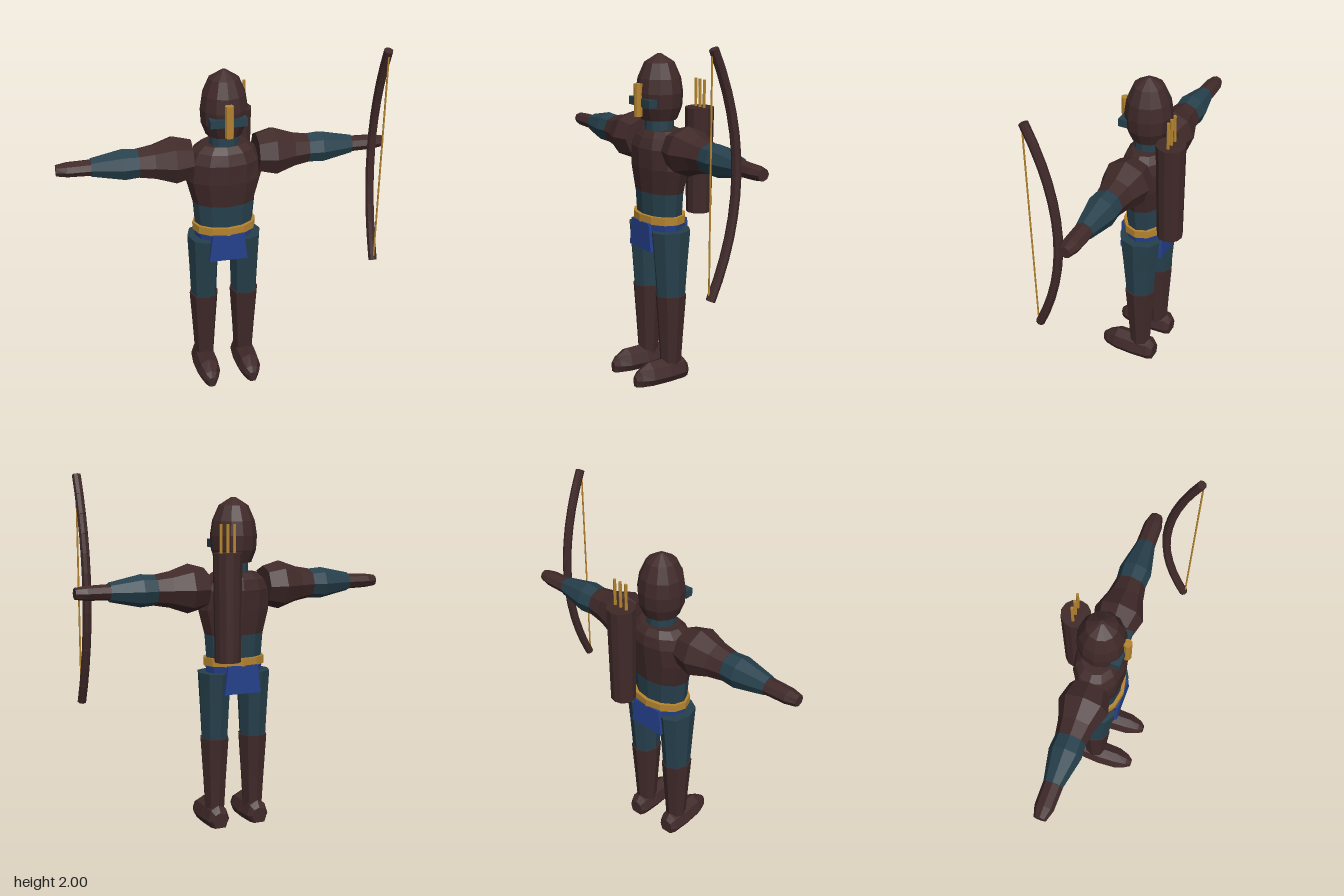
import * as THREE from 'three';

const mat = (name, color) => new THREE.MeshStandardMaterial({ name, color, flatShading: true });

// Loft along y from rings [y, rx, rz, cz]
function loft(rings, sides = 8) {
  const n = rings.length - 1;
  const list = [...rings].reverse(); // top ring first, like the cylinder rows
  const g = new THREE.CylinderGeometry(1, 1, 1, sides, n);
  const p = g.attributes.position;
  for (let i = 0; i < p.count; i++) {
    const [y, rx, rz = rx, cz = 0] = list[Math.round((0.5 - p.getY(i)) * n)];
    p.setXYZ(i, p.getX(i) * rx, y, p.getZ(i) * rz + cz);
  }
  g.computeVertexNormals();
  return g;
}

// Straight rod between two points
function rod(a, b, r, sides = 8) {
  const d = b.clone().sub(a);
  const g = new THREE.CylinderGeometry(r, r, d.length(), sides);
  g.applyQuaternion(new THREE.Quaternion().setFromUnitVectors(new THREE.Vector3(0, 1, 0), d.normalize()));
  const m = a.clone().add(b).multiplyScalar(0.5);
  return g.translate(m.x, m.y, m.z);
}

export function createModel() {
  const brown = mat('dark leather', 0x402929);
  const teal = mat('teal cloth', 0x26404c);
  const gold = mat('gold', 0xb5842f);
  const blue = mat('blue cloth', 0x25418c);
  const model = new THREE.Group();
  model.name = 'archer';
  const add = (name, geo, material, parent = model) => {
    const m = new THREE.Mesh(geo, material);
    m.name = name;
    parent.add(m);
    return m;
  };

  // Head and hood
  add('hood', loft([[1.51, 0.1], [1.58, 0.127], [1.66, 0.132], [1.74, 0.12], [1.825, 0.083], [1.87, 0.012]], 12), brown);
  add('neck', loft([[1.43, 0.085], [1.53, 0.08]], 12), teal);
  add('visor', new THREE.BoxGeometry(0.205, 0.045, 0.05).translate(0, 1.612, 0.108), teal);
  add('faceGuard', new THREE.CylinderGeometry(0.024, 0.024, 0.18, 8).translate(0, 1.625, 0.138), gold);

  // Torso
  add('abdomen', loft([[0.95, 0.165, 0.11], [1.11, 0.178, 0.118]], 12), teal);
  add('chest', loft([[1.11, 0.178, 0.12], [1.25, 0.215, 0.135], [1.36, 0.205, 0.142, -0.005],
    [1.42, 0.175, 0.125, -0.01], [1.455, 0.13, 0.095, -0.01]], 12), brown);
  add('belt', loft([[0.935, 0.182, 0.132], [0.98, 0.182, 0.132]], 12), gold);
  add('hips', loft([[0.885, 0.165, 0.115], [0.94, 0.172, 0.122]], 12), blue);
  add('pelvis', loft([[0.8, 0.07, 0.07], [0.886, 0.155, 0.105]], 12), teal);

  // Front and back loincloth flaps
  const flap = new THREE.Shape([[-0.11, 0.78], [0.11, 0.78], [0.09, 0.94], [-0.09, 0.94]].map(([x, y]) => new THREE.Vector2(x, y)));
  for (const [name, z] of [['frontFlap', 0.112], ['backFlap', -0.13]]) {
    add(name, new THREE.ExtrudeGeometry(flap, { depth: 0.018, bevelEnabled: false }).translate(0, 0, z), blue);
  }

  for (const [side, s] of [['left', 1], ['right', -1]]) {
    // Arms, lofted upright then laid along x
    const arm = new THREE.Group();
    arm.name = side + 'Arm';
    arm.position.set(0, 1.372, -0.003);
    arm.rotation.z = -s * Math.PI / 2;
    model.add(arm);
    add('shoulder', loft([[0.183, 0.112], [0.28, 0.138], [0.39, 0.1], [0.475, 0.085]]), brown, arm);
    add('forearm', loft([[0.475, 0.084], [0.555, 0.09], [0.732, 0.053]]), teal, arm);
    add('hand', loft([[0.73, 0.044, 0.054], [0.86, 0.04, 0.052], [0.92, 0.032, 0.034]]), brown, arm);

    // Legs, leaning slightly outward at the top
    const leg = new THREE.Group();
    leg.name = side + 'Leg';
    leg.position.x = s * 0.12;
    model.add(leg);
    add('thigh', loft([[0.48, 0.074, 0.084], [0.7, 0.083, 0.103], [0.895, 0.092, 0.122]]), teal, leg);
    add('boot', loft([[0.08, 0.056, 0.062], [0.28, 0.068, 0.075], [0.515, 0.084, 0.092]]), brown, leg);

    // Foot lofted along z with a flat sole
    const foot = loft([[-0.095, 0.045, 0.05], [-0.065, 0.066, 0.085], [0.04, 0.074, 0.088], [0.15, 0.068, 0.088],
      [0.215, 0.045, 0.05], [0.245, 0.02, 0.022]]);
    foot.rotateX(Math.PI / 2).translate(s * 0.003, 0.04, 0);
    const p = foot.attributes.position;
    for (let i = 0; i < p.count; i++) {
      const low = p.getY(i) < 0.035;
      p.setY(i, low ? 0 : p.getY(i));
    }
    foot.computeVertexNormals();
    add('foot', foot, brown, leg);
  }

  // Quiver with three arrows
  add('quiver', loft([[0.98, 0.072], [1.575, 0.081]], 12).translate(0.12, 0, -0.188), brown);
  for (const x of [0.08, 0.12, 0.16]) {
    add('arrow', new THREE.CylinderGeometry(0.009, 0.009, 0.3, 6).translate(x, 1.58, -0.19), gold);
  }

  // Bow built from short straight limbs along a curve
  const bow = new THREE.Group();
  bow.name = 'bow';
  model.add(bow);
  const steps = 12;
  const at = (i) => {
    const t = (i / steps) * 2 - 1;
    return new THREE.Vector3(0.825, 1.364 + 0.625 * t, 0.09 + 0.147 * t * t);
  };
  for (let i = 0; i < steps; i++) add('bowLimb', rod(at(i), at(i + 1), 0.025), brown, bow);
  add('bowString', rod(new THREE.Vector3(0.825, 0.755, 0.246), new THREE.Vector3(0.825, 1.975, 0.246), 0.005, 6), gold, bow);

  return model;
}
